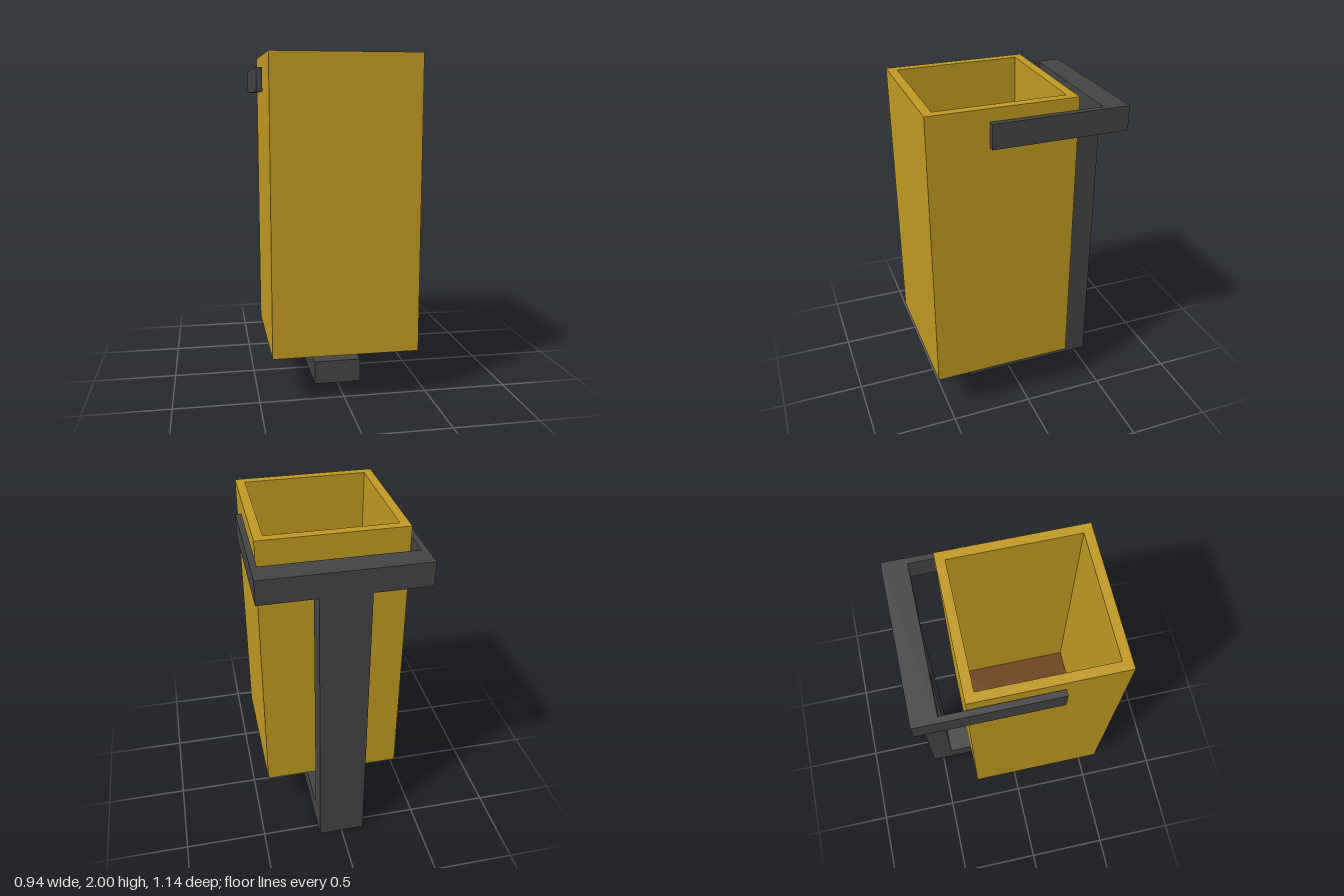
import * as THREE from 'three';

export function createModel() {
  const model = new THREE.Group();
  const gold = new THREE.MeshStandardMaterial({ color: 0xc19a22 });
  gold.name = 'gold';
  const brown = new THREE.MeshStandardMaterial({ color: 0x6b3f0e });
  brown.name = 'brown';
  const iron = new THREE.MeshStandardMaterial({ color: 0x444444 });
  iron.name = 'dark iron';

  // Box given by its minimum and maximum corners
  function block(name, material, [x0, y0, z0], [x1, y1, z1], parent) {
    const mesh = new THREE.Mesh(new THREE.BoxGeometry(x1 - x0, y1 - y0, z1 - z0), material);
    mesh.position.set((x0 + x1) / 2, (y0 + y1) / 2, (z0 + z1) / 2);
    mesh.name = name;
    parent.add(mesh);
  }

  // Square container: hollow sleeve extruded upward, closed by a floor
  const container = new THREE.Group();
  container.name = 'container';
  const half = 0.4286, inner = 0.3745, bottom = 0.2857, midZ = 0.1429;
  const square = (Type, r) => new Type([
    new THREE.Vector2(-r, -r), new THREE.Vector2(r, -r),
    new THREE.Vector2(r, r), new THREE.Vector2(-r, r),
  ]);
  const outline = square(THREE.Shape, half);
  outline.holes.push(square(THREE.Path, inner));
  const sleeveGeometry = new THREE.ExtrudeGeometry(outline, { depth: 2 - bottom, bevelEnabled: false });
  sleeveGeometry.rotateX(-Math.PI / 2);
  const sleeve = new THREE.Mesh(sleeveGeometry, gold);
  sleeve.name = 'containerWalls';
  sleeve.position.set(0, bottom, midZ);
  container.add(sleeve);
  block('containerFloor', gold, [-inner, bottom, midZ - inner], [inner, bottom + 0.045, midZ + inner], container);
  block('floorLining', brown, [-inner, bottom + 0.045, midZ - inner], [inner, bottom + 0.054, midZ + inner], container);
  model.add(container);

  // Wall bracket: foot, post, crossbar and two side arms
  const bracket = new THREE.Group();
  bracket.name = 'bracket';
  const back = -0.5714, front = -0.4286, wide = 0.4714;
  block('foot', iron, [-0.1429, 0, front], [0.1429, 0.1429, 0.2857], bracket);
  block('post', iron, [-0.1429, 0, back], [0.1429, 1.7857, front], bracket);
  block('crossbar', iron, [-wide, 1.7857, back], [wide, 1.9286, front], bracket);
  for (const [name, x0, x1] of [['leftArm', 0.4357, wide], ['rightArm', -wide, -0.4357]]) {
    block(name, iron, [x0, 1.7857, front], [x1, 1.9286, 0.2257], bracket);
  }
  model.add(bracket);

  return model;
}
